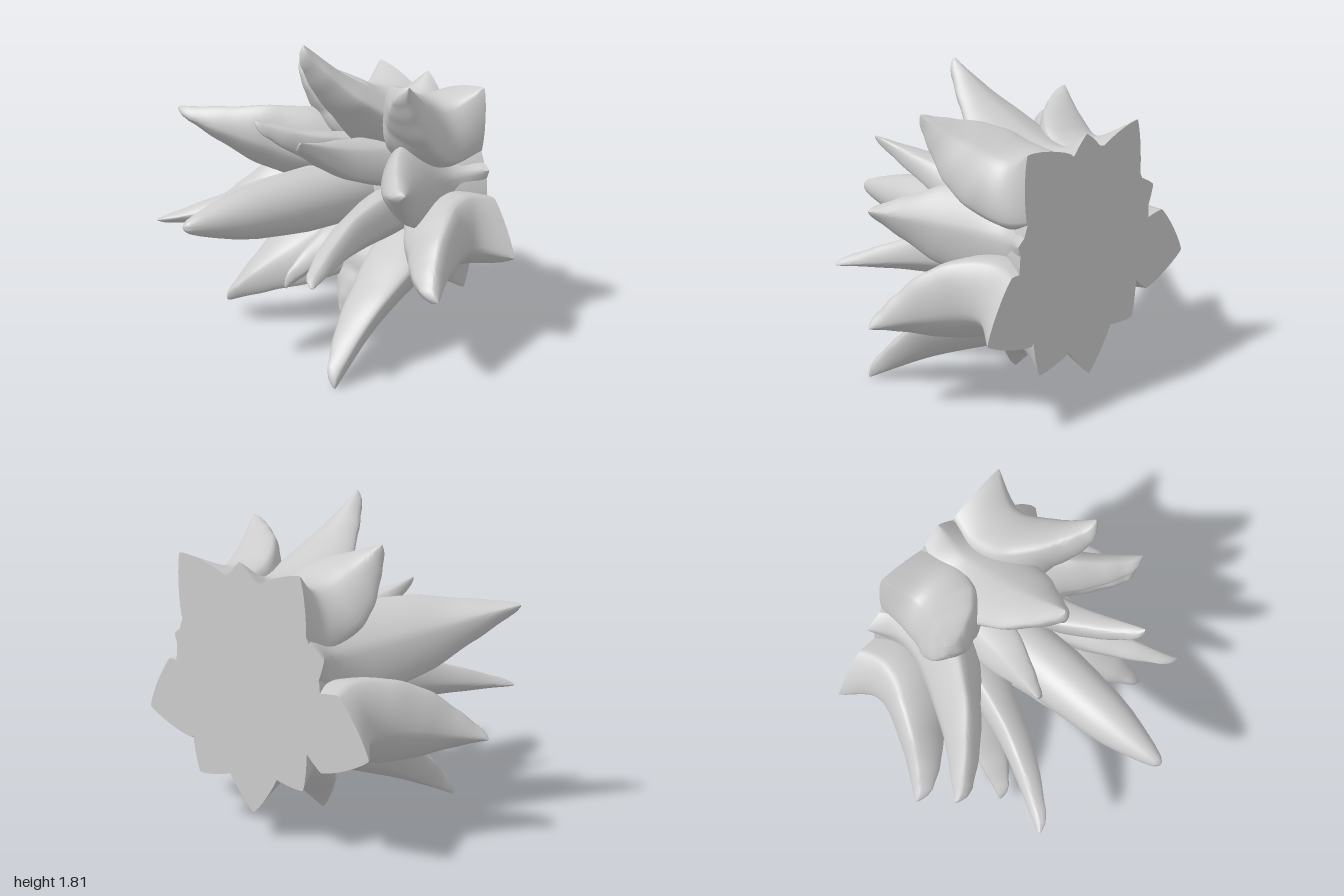
import * as THREE from 'three';
import { toCreasedNormals } from 'three/addons/utils/BufferGeometryUtils.js';

const BACK = -0.855, CX = 0.04, CY = 0.9;
const material = new THREE.MeshStandardMaterial({ color: 0xcccccc });

// Softly eased lookup in [t, value] pairs
function sample(table, t) {
  for (let i = 1; i < table.length; i++) {
    const [t0, v0] = table[i - 1], [t1, v1] = table[i];
    const f = 0.3 * THREE.MathUtils.smoothstep(t, t0, t1) + 0.7 * (t - t0) / (t1 - t0);
    if (t <= t1) return v0 + (v1 - v0) * f;
  }
  return table[table.length - 1][1];
}
// Half width, and depth outside and inside the widest line, along a leaf
const WIDTH = [[0, 0.92], [0.33, 1], [0.5, 1], [0.67, 0.82], [0.83, 0.46], [0.95, 0.19], [0.985, 0.11], [1, 0.03]];
const OUTSIDE = [[0, 2.2], [0.33, 1.4], [0.5, 1.05], [0.67, 0.9], [0.83, 0.65], [0.95, 0.42], [0.985, 0.28], [1, 0.1]];
const INSIDE = [[0, 3], [0.33, 2.5], [0.5, 1.7], [0.67, 1.1], [0.83, 0.8], [0.95, 0.5], [0.985, 0.32], [1, 0.1]];

// Fleshy leaf: lens-shaped sections hung from an outer keel curve that flares at the flat back
function leafGeometry({ tip, root, width, thick, dip }) {
  const [tx, ty, tz] = tip;
  const theta = Math.atan2(ty - CY, tx - CX), reach = Math.hypot(tx - CX, ty - CY);
  const e = new THREE.Vector3(Math.cos(theta), Math.sin(theta), 0);
  const side = new THREE.Vector3(-e.y, e.x, 0);
  const low = root - dip, lowZ = -0.66;
  const len = Math.hypot(reach - low, tz - lowZ);
  const keel = new THREE.CatmullRomCurve3([
    new THREE.Vector3(root, 0, BACK),
    new THREE.Vector3(low, 0, lowZ),
    new THREE.Vector3((low + reach) / 2 - 0.055 * len, 0, (lowZ + tz) / 2 + 0.02 * len),
    new THREE.Vector3(reach, 0, tz),
  ]);
  const rows = 34, cols = 32, pos = [], index = [];
  for (let i = 0; i <= rows; i++) {
    const t = 1 - (1 - i / rows) ** 1.4, k = keel.getPoint(t), d = keel.getTangent(t);
    const tilt = i === 0 ? 0 : Math.max(0, Math.atan2(d.x, d.z));
    const n = e.clone().multiplyScalar(Math.cos(tilt)).setZ(-Math.sin(tilt));
    const w = width * sample(WIDTH, t), out = thick * sample(OUTSIDE, t), inn = thick * sample(INSIDE, t);
    // Sections are sharpest at the root, where they form the points of the back
    const sharp = THREE.MathUtils.lerp(1.7, 1.35, Math.min(1, t / 0.4));
    const power = v => Math.sign(v) * Math.abs(v) ** sharp;
    const c = new THREE.Vector3(CX, CY, k.z).addScaledVector(e, k.x).addScaledVector(n, -out);
    for (let j = 0; j < cols; j++) {
      const a = j / cols * Math.PI * 2, u = power(Math.cos(a));
      const p = c.clone().addScaledVector(n, u * (u > 0 ? out : inn)).addScaledVector(side, w * power(Math.sin(a)));
      pos.push(p.x, p.y, Math.max(BACK, p.z));
    }
  }
  for (let i = 0; i < rows; i++) for (let j = 0; j < cols; j++) {
    const a = i * cols + j, b = i * cols + (j + 1) % cols;
    index.push(a, b, a + cols, b, b + cols, a + cols);
  }
  // End caps
  for (let j = 1; j < cols - 1; j++) {
    const last = rows * cols;
    index.push(0, j + 1, j, last, last + j, last + j + 1);
  }
  const geo = new THREE.BufferGeometry();
  geo.setAttribute('position', new THREE.Float32BufferAttribute(pos, 3));
  geo.setIndex(index);
  return toCreasedNormals(geo, 0.8);
}

// Round part turned about the z axis from [radius, z] points
function turned(name, points) {
  const geo = new THREE.LatheGeometry(points.map(([r, z]) => new THREE.Vector2(r, z)), 40);
  geo.rotateX(Math.PI / 2);
  const mesh = new THREE.Mesh(toCreasedNormals(geo, 0.8), material);
  mesh.name = name;
  mesh.position.set(CX + 0.01, CY, 0);
  return mesh;
}

// Each leaf: tip x, y, z and radius of its root on the back plane
const LAYERS = [
  { name: 'outerLeaf', width: 0.25, thick: 0.13, dip: 0.14, leaves: [
    [0.65, 1.64, -0.21, 0.81], [-0.43, 1.62, -0.3, 0.75], [-1.0, 0.61, -0.08, 0.92],
    [0.0, 0.04, -0.32, 0.745], [1.0, 0.53, -0.15, 0.87]] },
  { name: 'middleLeaf', width: 0.26, thick: 0.12, dip: 0.11, leaves: [
    [0.09, 1.81, 0.07, 0.64], [-0.95, 1.28, 0.24, 0.62], [-0.57, 0.13, 0.16, 0.67],
    [0.62, 0.0, 0.25, 0.73], [0.86, 1.12, -0.02, 0.6]] },
  { name: 'innerLeaf', width: 0.17, thick: 0.1, dip: 0.05, leaves: [
    [0.44, 1.38, 0.35, 0.4], [-0.24, 1.34, 0.18, 0.38], [-0.67, 0.7, 0.58, 0.4],
    [0.68, 0.65, 0.45, 0.4], [0.02, 0.38, 0.15, 0.37]] },
];

export function createModel() {
  const model = new THREE.Group();
  model.name = 'succulentRosette';

  for (const { name, width, thick, dip, leaves } of LAYERS) {
    const layer = new THREE.Group();
    layer.name = name + 'Layer';
    for (const [x, y, z, root] of leaves) {
      const leaf = new THREE.Mesh(leafGeometry({ tip: [x, y, z], root, width, thick, dip }), material);
      leaf.name = name;
      layer.add(leaf);
    }
    model.add(layer);
  }

  // Solid heart joining the leaf roots, closed by the flat back
  model.add(turned('core', [[0, BACK], [0.56, BACK], [0.46, -0.68], [0.33, -0.5], [0.18, -0.35], [0, -0.3]]));
  // Pointed centre bud
  model.add(turned('centreBud', [[0.15, -0.5], [0.172, -0.2], [0.178, 0.05], [0.166, 0.22], [0.15, 0.4],
    [0.127, 0.53], [0.098, 0.64], [0.065, 0.75], [0.04, 0.815], [0.03, 0.83], [0.015, 0.845], [0, 0.85]]));
  return model;
}
